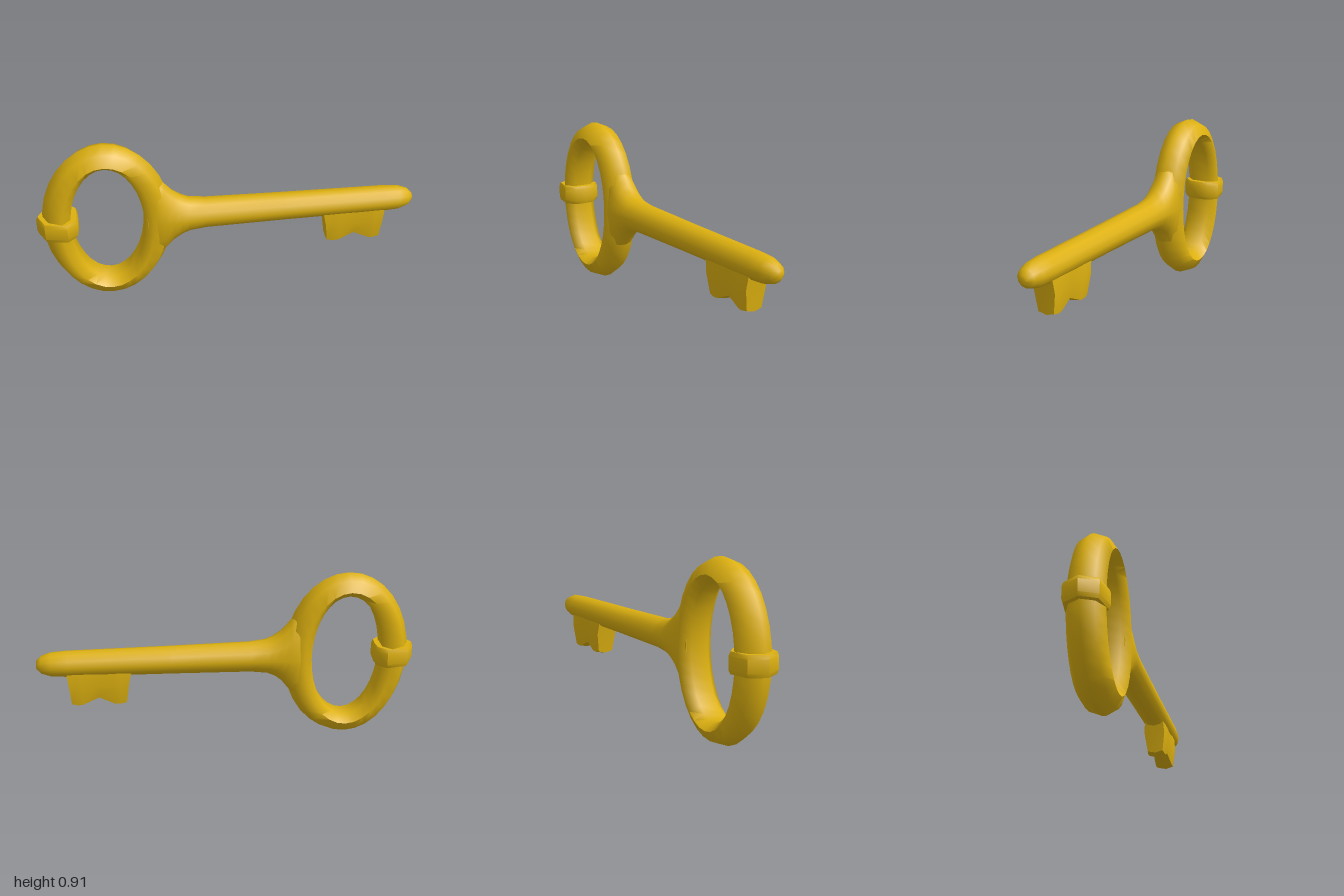
import * as THREE from 'three';
import { toCreasedNormals } from 'three/addons/utils/BufferGeometryUtils.js';

// Skin a list of cross-sections; either loop it into a ring or cap both ends.
function loft(sections, loop, crease) {
  const n = sections[0].length, m = sections.length;
  const pts = sections.flat(), index = [];
  for (let i = 0; i < (loop ? m : m - 1); i++) {
    for (let j = 0; j < n; j++) {
      const k = (j + 1) % n, i2 = (i + 1) % m;
      const a = i * n + j, b = i2 * n + j, c = i2 * n + k, d = i * n + k;
      index.push(a, d, b, d, c, b);
    }
  }
  if (!loop) {
    for (const end of [0, m - 1]) {
      const centre = new THREE.Vector3();
      sections[end].forEach((p) => centre.addScaledVector(p, 1 / n));
      const c = pts.push(centre) - 1;
      for (let j = 0; j < n; j++) {
        const a = end * n + j, b = end * n + ((j + 1) % n);
        if (end) index.push(c, a, b);
        else index.push(c, b, a);
      }
    }
  }
  const geometry = new THREE.BufferGeometry().setFromPoints(pts);
  geometry.setIndex(index);
  return toCreasedNormals(geometry, crease);
}

const V = (x, y, z) => new THREE.Vector3(x, y, z);

export function createModel() {
  const group = new THREE.Group();
  const gold = new THREE.MeshStandardMaterial({ color: 0xdcb010 });
  gold.name = 'gold';
  const add = (name, geometry) => {
    const mesh = new THREE.Mesh(geometry, gold);
    mesh.name = name;
    group.add(mesh);
  };
  const midY = 0.457;

  // Oval bow: faceted section [0 inner .. 1 outer, z] swept between two ellipses
  const bowProfile = [[1, 0], [0.78, -0.062], [0.3, -0.095], [0, -0.05],
    [0, 0.05], [0.3, 0.095], [0.78, 0.062]];
  const bow = [];
  for (let i = 0; i < 32; i++) {
    const t = (i / 32) * Math.PI * 2;
    bow.push(bowProfile.map(([s, z]) => V(
      -0.635 + Math.cos(t) * (0.19 + 0.145 * s),
      midY + Math.sin(t) * (0.34 + 0.115 * s), z)));
  }
  add('bow', loft(bow, true, 1.4));

  // Shaft flaring into the bow: x, half height, half depth
  const shaft = [[-0.43, 0.262, 0.07], [-0.37, 0.243, 0.09], [-0.335, 0.2, 0.092],
    [-0.294, 0.147, 0.092], [-0.25, 0.112, 0.09], [-0.21, 0.092, 0.087], [-0.12, 0.08, 0.083],
    [0.3, 0.073, 0.077], [0.84, 0.068, 0.072], [0.92, 0.063, 0.065],
    [0.97, 0.047, 0.048], [0.995, 0.022, 0.022]];
  add('shaft', loft(shaft.map(([x, h, d]) => {
    const ring = [];
    for (let j = 0; j < 12; j++) {
      const a = (j / 12) * Math.PI * 2;
      ring.push(V(x, 0.461 + h * Math.cos(a), d * Math.sin(a)));
    }
    return ring;
  }), false, 1.2));

  // Notched bit: x at top, x at bottom, bottom y, width factor
  const bit = [[0.5, 0.535, 0.235, 0.92], [0.565, 0.565, 0.229, 1], [0.6, 0.6, 0.231, 1],
    [0.68, 0.68, 0.267, 0.85], [0.765, 0.765, 0.231, 1], [0.79, 0.79, 0.229, 1],
    [0.845, 0.823, 0.235, 0.92]];
  add('bit', loft(bit.map(([xt, xb, yb, w]) => {
    const half = [[0.05, 0.45], [0.063 * w, 0.35], [0.047 * w, yb + 0.01]];
    const outline = [[0, 0.45], ...half, [0, yb],
      ...half.slice().reverse().map(([z, y]) => [-z, y])];
    return outline.map(([z, y]) => {
      const t = THREE.MathUtils.clamp((0.41 - y) / 0.1, 0, 1);
      return V(xt + (xb - xt) * t, y, z);
    });
  }), false, 0.85));

  // Bevelled collar around the outer side of the bow
  const collarOutline = [[-1, 0], [-0.955, 0.088], [-0.84, 0.108], [-0.79, 0.06],
    [-0.785, 0], [-0.79, -0.06], [-0.84, -0.108], [-0.955, -0.088]];
  const collar = [[0.405, 0.93], [0.425, 1], [0.49, 1], [0.51, 0.93]];
  add('collar', loft(collar.map(([y, s]) =>
    collarOutline.map(([x, z]) => V(-0.893 + (x + 0.893) * s, y, z * s))), false, 0.9));

  return group;
}
